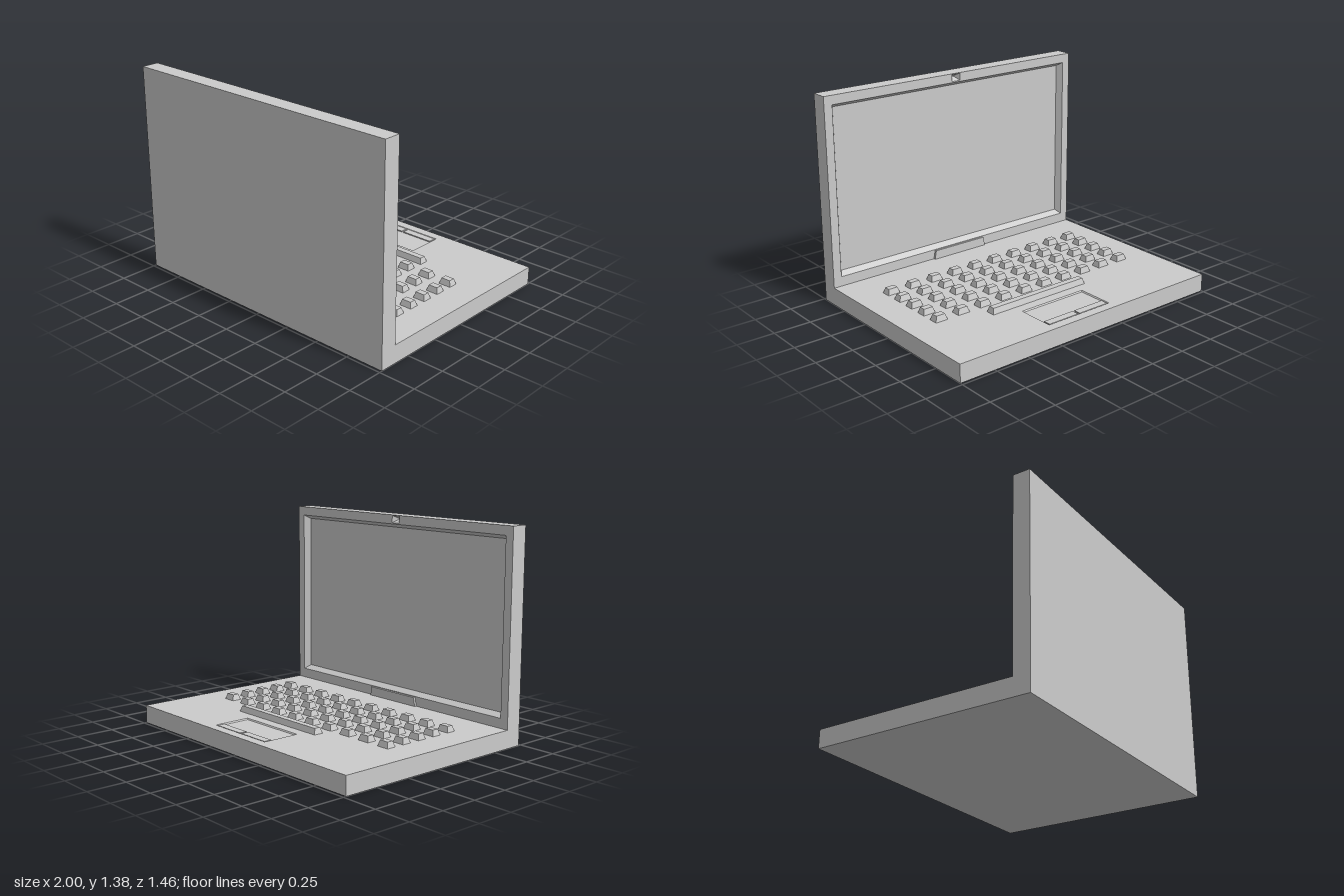
import * as THREE from 'three';

const grey = new THREE.MeshStandardMaterial({ color: 0xcccccc, flatShading: true });
const inward = new THREE.MeshStandardMaterial({ color: 0xcccccc, flatShading: true, side: THREE.BackSide });

const TOP = 0.12, BACK = -0.731, FRONT = 0.731, LID_Z = 0.617, LID_TOP = 1.385;

function add(parent, name, geometry, material = grey) {
  const mesh = new THREE.Mesh(geometry, material);
  mesh.name = name;
  parent.add(mesh);
  return mesh;
}

// Box given by its limits on each axis
function box(x0, x1, y0, y1, z0, z1) {
  return new THREE.BoxGeometry(x1 - x0, y1 - y0, z1 - z0)
    .translate((x0 + x1) / 2, (y0 + y1) / 2, (z0 + z1) / 2);
}

// Block standing on y = 0 whose top is inset (or outset, if negative)
function taperedBlock(w, d, h, insetX, insetZ = insetX) {
  const g = new THREE.BoxGeometry(w, h, d).translate(0, h / 2, 0);
  const p = g.attributes.position;
  for (let i = 0; i < p.count; i++) {
    if (p.getY(i) < h / 2) continue;
    p.setX(i, p.getX(i) - Math.sign(p.getX(i)) * insetX);
    p.setZ(i, p.getZ(i) - Math.sign(p.getZ(i)) * insetZ);
  }
  g.computeVertexNormals();
  return g;
}

// Four sloping walls lining a rectangular opening, seen from inside
function recessWalls([x0, x1, v0, v1], depth, slope) {
  const g = taperedBlock(x1 - x0 - 2 * slope, v1 - v0 - 2 * slope, depth, -slope);
  const index = Array.from(g.index.array);
  index.splice(12, 12); // leave top and bottom open
  g.setIndex(index);
  return g.translate((x0 + x1) / 2, 0, (v0 + v1) / 2);
}

// Rectangle outline as a list of corners
function rect([x0, x1, y0, y1]) {
  return [[x0, y0], [x1, y0], [x1, y1], [x0, y1]].map(([x, y]) => new THREE.Vector2(x, y));
}

// Plate with rectangular holes, extruded along z
function plate(outline, holes, depth) {
  const shape = new THREE.Shape(rect(outline));
  for (const h of holes) shape.holes.push(new THREE.Path(rect(h).reverse()));
  return new THREE.ExtrudeGeometry(shape, { depth, bevelEnabled: false });
}

export function createModel() {
  const model = new THREE.Group();
  model.name = 'laptop';

  // Base: solid slab under a thin deck with the trackpad opening
  const base = new THREE.Group();
  base.name = 'base';
  model.add(base);
  const padDepth = 0.008, deckY = TOP - padDepth;
  const pad = [-0.207, 0.289, -0.668, -0.417];
  add(base, 'baseSlab', box(-1, 1, 0, deckY, BACK, FRONT));
  add(base, 'deck', plate([-1, 1, -LID_Z, -BACK], [[pad[0], pad[1], -pad[3], -pad[2]]], padDepth)
    .rotateX(-Math.PI / 2).translate(0, deckY, 0));

  // Trackpad: shallow recess with sloping sides, and two buttons
  add(base, 'trackpadRim', recessWalls(pad, padDepth, 0.006), inward).position.y = deckY;
  for (const [name, x0] of [['rightButton', -0.197], ['leftButton', 0.048]]) {
    add(base, name, box(x0, x0 + 0.23, deckY, TOP - 0.001, -0.661, -0.61));
  }

  // Keyboard: five rows of ten tapered keys and a space bar
  const keyboard = new THREE.Group();
  keyboard.name = 'keyboard';
  model.add(keyboard);
  const keyGeo = taperedBlock(0.086, 0.064, 0.038, 0.011);
  for (let row = 0; row < 5; row++) {
    for (let col = 0; col < 10; col++) {
      add(keyboard, 'key', keyGeo).position.set(-0.754 + col * 0.1675, TOP, -0.188 + row * 0.1285);
    }
  }
  add(keyboard, 'spaceBar', taperedBlock(0.754, 0.064, 0.038, 0.011)).position.set(0.083, TOP, -0.317);

  // Lid: back panel, and a bezel with openings for the screen and the camera
  const lid = new THREE.Group();
  lid.name = 'lid';
  model.add(lid);
  const screenDepth = 0.042, screenZ = LID_Z + screenDepth;
  const screen = [-0.943, 0.943, 0.185, 1.325], camera = [-0.033, 0.033, 1.333, 1.381];
  add(lid, 'screenPanel', box(-1, 1, deckY, LID_TOP, screenZ, FRONT));
  add(lid, 'bezel', plate([-1, 1, deckY, LID_TOP], [screen, camera], screenDepth).translate(0, 0, LID_Z));
  for (const [name, opening, slope] of [['screenRim', screen, 0.025], ['cameraRim', camera, 0.02]]) {
    const rim = add(lid, name, recessWalls(opening, screenDepth, slope), inward);
    rim.rotation.x = -Math.PI / 2;
    rim.position.z = screenZ;
  }

  // Hinge cover at the foot of the lid, narrowing slightly upwards
  add(lid, 'hinge', taperedBlock(0.43, LID_Z - 0.602, 0.06, 0.012, 0))
    .position.set(0, TOP, (0.602 + LID_Z) / 2);

  return model;
}
